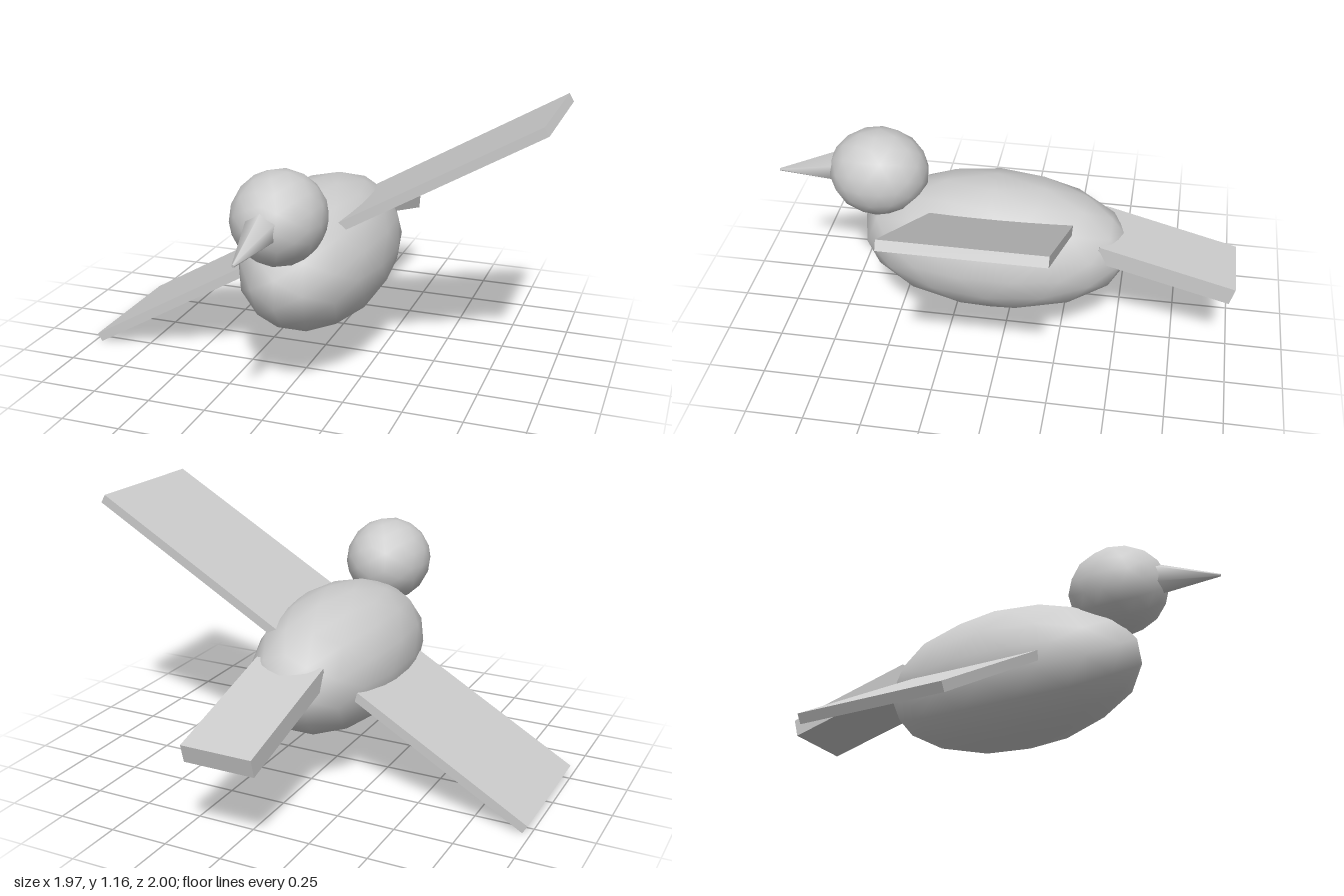
import * as THREE from 'three';

export function createModel() {
  const bird = new THREE.Group();
  bird.name = 'bird';
  const grey = new THREE.MeshStandardMaterial({ color: 0xcccccc });
  grey.name = 'light grey';
  const midX = 0.005;

  const add = (name, geometry, x, y, z) => {
    const mesh = new THREE.Mesh(geometry, grey);
    mesh.name = name;
    mesh.position.set(x, y, z);
    bird.add(mesh);
    return mesh;
  };

  // Coarse ball with smooth normals, stretched to an ellipsoid
  const ball = (rx, ry, rz) => new THREE.IcosahedronGeometry(1.015, 2).scale(rx, ry, rz);

  // Body and head
  add('body', ball(0.305, 0.3, 0.583), midX, 0.482, 0.045);
  add('head', ball(0.189, 0.188, 0.212), midX, 0.783, 0.552);

  // Beak: thin six-sided cone, dipping towards the tip
  const beakGeometry = new THREE.CylinderGeometry(0.006, 0.07, 0.27, 6).rotateX(Math.PI / 2);
  add('beak', beakGeometry, midX, 0.766, 0.866).rotation.x = 0.18;

  // Wings: two planks in one banked line through the body
  const bank = Math.PI / 6, halfSpan = 1.128;
  for (const [name, side] of [['leftWing', 1], ['rightWing', -1]]) {
    const plank = new THREE.BoxGeometry(halfSpan, 0.04, 0.605).translate(side * halfSpan / 2, 0, 0);
    add(name, plank, 0, 0.583, 0).rotation.z = bank;
  }

  // Tail: short thick plank sloping down to the back
  add('tail', new THREE.BoxGeometry(0.305, 0.08, 0.6), midX, 0.482, -0.7).rotation.x = -Math.PI / 12;

  return bird;
}
